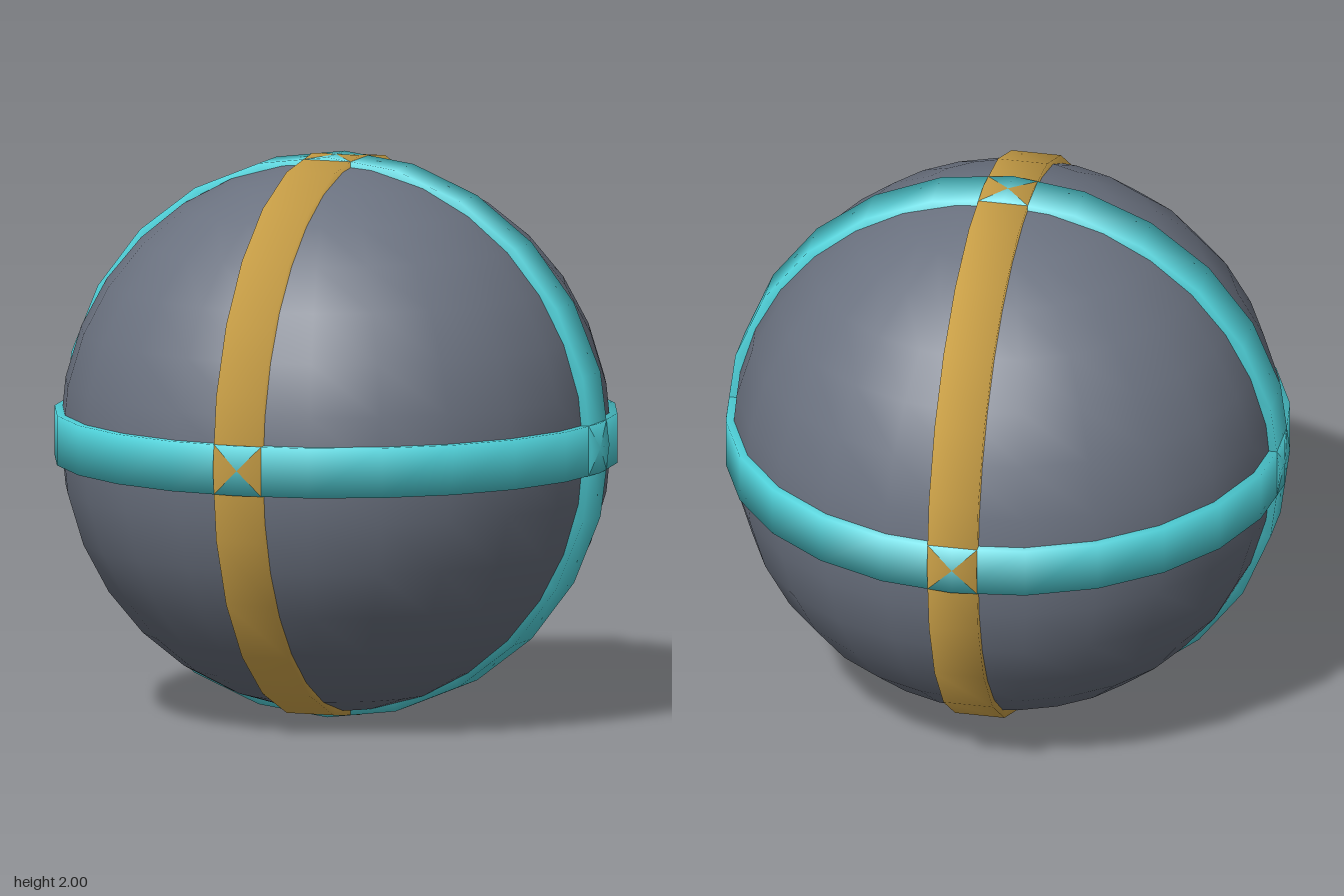
import * as THREE from 'three';

const RING_RADIUS = 0.911; // centre line of each band
const HALF = 0.089; // half the width of a band

// Torus with a square profile: a four-sided tube turned by 45 degrees, smooth normals
function bandGeometry() {
  const geo = new THREE.TorusGeometry(RING_RADIUS, HALF * Math.SQRT2, 4, 24);
  const pos = geo.attributes.position;
  const nor = geo.attributes.normal;
  for (let i = 0; i < pos.count; i++) {
    const x = pos.getX(i), y = pos.getY(i), z = pos.getZ(i);
    const len = Math.hypot(x, y);
    const cx = x / len, cy = y / len;
    const out = len - RING_RADIUS;
    const a = (out - z) * Math.SQRT1_2; // turned radial offset
    const b = (out + z) * Math.SQRT1_2; // turned sideways offset
    pos.setXYZ(i, cx * (RING_RADIUS + a), cy * (RING_RADIUS + a), b);
    const n = Math.hypot(a, b);
    nor.setXYZ(i, (cx * a) / n, (cy * a) / n, b / n);
  }
  return geo;
}

export function createModel() {
  const grey = new THREE.MeshStandardMaterial({ color: 0x6b7280 });
  grey.name = 'slate grey';
  const cyan = new THREE.MeshStandardMaterial({ color: 0x4fd1d9 });
  cyan.name = 'cyan';
  const gold = new THREE.MeshStandardMaterial({ color: 0xd4a84b });
  gold.name = 'gold';

  const model = new THREE.Group();
  model.name = 'bandedSphere';

  // Core ball
  const core = new THREE.Mesh(new THREE.SphereGeometry(0.98, 24, 16), grey);
  core.name = 'core';
  core.position.y = 1;
  model.add(core);

  // Three crossing bands, one in each main plane
  const geo = bandGeometry();
  const bands = [
    ['equatorBand', cyan, Math.PI / 2, 0],
    ['sideToSideBand', cyan, 0, 0],
    ['frontToBackBand', gold, 0, Math.PI / 2],
  ];
  for (const [name, material, rx, ry] of bands) {
    const band = new THREE.Mesh(geo, material);
    band.name = name;
    band.rotation.set(rx, ry, 0);
    band.position.y = 1;
    model.add(band);
  }
  return model;
}
